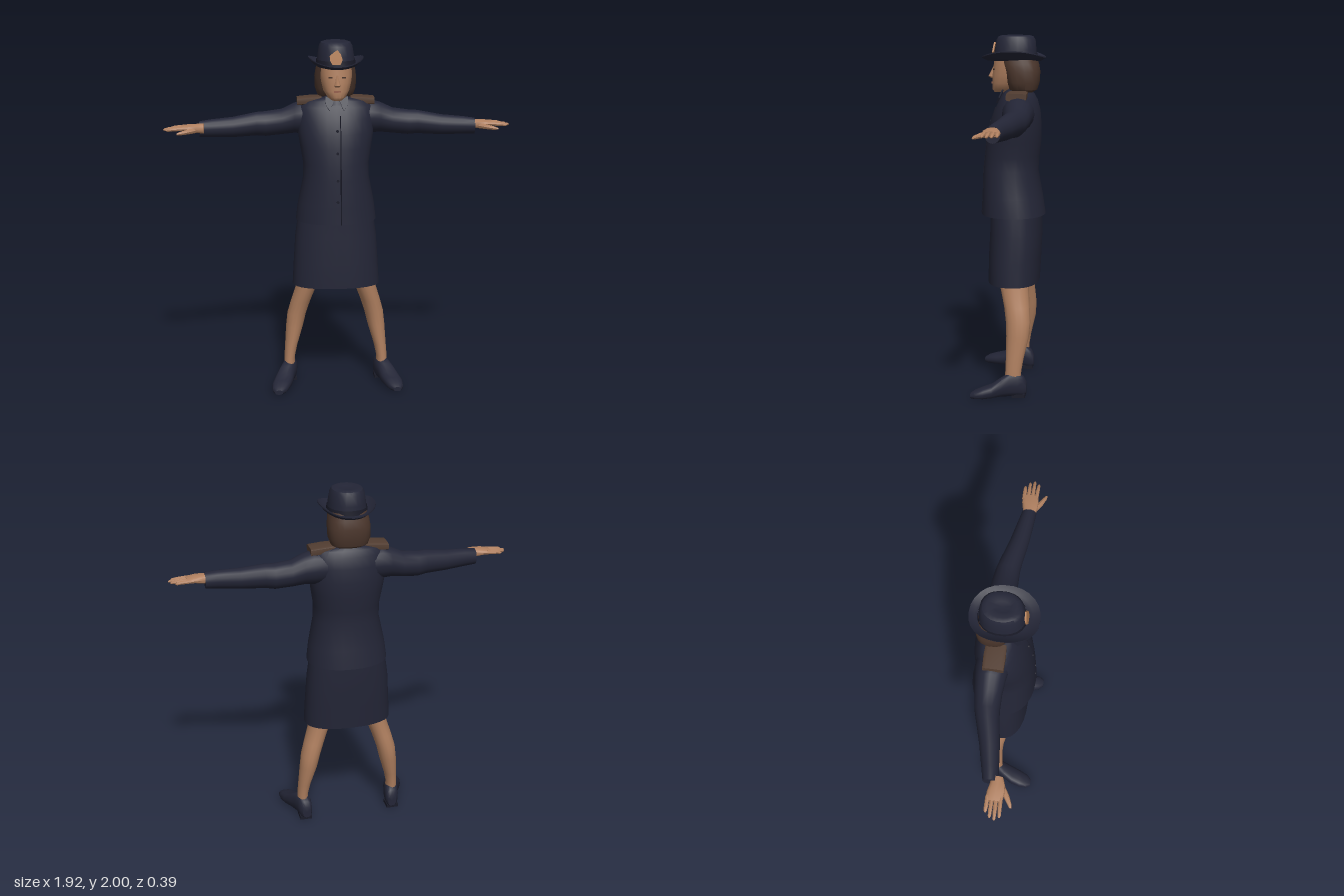
import * as THREE from 'three';
import { toCreasedNormals } from 'three/addons/utils/BufferGeometryUtils.js';

const mat = (name, color) => {
  const m = new THREE.MeshStandardMaterial({ color, side: THREE.DoubleSide });
  m.name = name;
  return m;
};
const navy = mat('navy cloth', 0x232536);
const dark = mat('dark seam', 0x1a1b28);
const skin = mat('skin', 0xb08060);
const hairBrown = mat('hair brown', 0x4b362c);
const strapBrown = mat('shoulder brown', 0x523d31);
const copper = mat('copper badge', 0xb07a50);
const lipRed = mat('lips', 0x96604c);

// Joins rings of points into a closed skin, with optional end caps
function skinRings(rings, { flip = false, capStart = true, capEnd = true } = {}) {
  const n = rings[0].length, pos = [], idx = [];
  rings.forEach(r => r.forEach(p => pos.push(p.x, p.y, p.z)));
  const tri = (a, b, c) => flip ? idx.push(a, c, b) : idx.push(a, b, c);
  for (let i = 0; i < rings.length - 1; i++) for (let j = 0; j < n; j++) {
    const a = i * n + j, b = i * n + (j + 1) % n;
    tri(a, b, a + n);
    tri(b, b + n, a + n);
  }
  const cap = (i, end) => {
    const c = new THREE.Vector3();
    rings[i].forEach(p => c.addScaledVector(p, 1 / n));
    const k = pos.length / 3;
    pos.push(c.x, c.y, c.z);
    for (let j = 0; j < n; j++) {
      const a = i * n + j, b = i * n + (j + 1) % n;
      end ? tri(a, b, k) : tri(b, a, k);
    }
  };
  if (capStart) cap(0, false);
  if (capEnd) cap(rings.length - 1, true);
  const g = new THREE.BufferGeometry();
  g.setAttribute('position', new THREE.Float32BufferAttribute(pos, 3));
  g.setIndex(idx);
  return toCreasedNormals(g, 0.7);
}

// Superellipse outline, as pairs of unit coordinates
const outline = (n, power) => Array.from({ length: n }, (_, j) => {
  const t = j / n * Math.PI * 2, c = Math.cos(t), s = Math.sin(t);
  const f = v => Math.sign(v) * Math.pow(Math.abs(v), 2 / power);
  return [f(c), f(s)];
});

// Upright form. Rows: [y, centre x, half width, front z, back z, side lift]
function upright(rows, { n = 20, power = 2.2, side = 1, ...opt } = {}) {
  const o = outline(n, power);
  return skinRings(rows.map(([y, cx, rx, zf, zb, lift = 0]) => o.map(([c, s]) =>
    new THREE.Vector3(side * (cx + rx * s), y + lift * s * s, (zf + zb) / 2 + (zf - zb) / 2 * c))),
  { flip: side < 0, ...opt });
}

// Form running sideways. Rows: [x, centre y, centre z, half height, half depth]
function sideways(rows, side, { n = 14, power = 2 } = {}) {
  const o = outline(n, power);
  return skinRings(rows.map(([x, cy, cz, ry, rz]) => o.map(([c, s]) =>
    new THREE.Vector3(side * x, cy + ry * c, cz + rz * s))), { flip: side < 0 });
}

// Form running forwards. Rows: [z, centre x, half width, bottom y, top y]
function forwards(rows, side, { n = 14, power = 2.6 } = {}) {
  const o = outline(n, power);
  return skinRings(rows.map(([z, cx, rx, lo, hi]) => o.map(([c, s]) =>
    new THREE.Vector3(side * (cx + rx * c), (lo + hi) / 2 + (hi - lo) / 2 * s, z))), { flip: side < 0 });
}

export function createModel() {
  const model = new THREE.Group();
  model.name = 'uniformedWoman';
  const body = new THREE.Group();
  body.name = 'body';
  body.position.x = -0.01;
  model.add(body);
  const add = (name, geometry, material, parent = body) => {
    const m = new THREE.Mesh(geometry, material);
    m.name = name;
    parent.add(m);
    return m;
  };

  // Jacket and skirt
  add('jacket', upright([
    [1.0, 0, .228, .17, -.19], [1.1, 0, .215, .165, -.175], [1.25, 0, .185, .16, -.148],
    [1.33, 0, .185, .152, -.155], [1.42, 0, .2, .142, -.165], [1.5, 0, .212, .125, -.165],
    [1.58, 0, .215, .1, -.158], [1.64, 0, .21, .07, -.142], [1.672, 0, .185, .05, -.125],
    [1.69, 0, .1, .04, -.11],
  ], { n: 28 }), navy);
  add('jacketFrontEdge', upright([
    [1.0, .018, .004, .174, .15], [1.1, .018, .004, .168, .15], [1.25, .018, .004, .163, .14],
    [1.42, .018, .004, .145, .12], [1.5, .018, .004, .128, .1], [1.6, .018, .004, .095, .06],
  ], { n: 8 }), dark);
  for (const [y, z] of [[1.13, .163], [1.25, .16], [1.4, .144], [1.52, .12]]) {
    const button = add('jacketButton', new THREE.CylinderGeometry(.008, .008, .008, 8), dark);
    button.rotation.x = Math.PI / 2;
    button.position.set(0, y, z);
  }
  add('skirt', upright([
    [.615, 0, .25, .132, -.158], [.75, 0, .242, .13, -.165], [.9, 0, .232, .122, -.172], [1.02, 0, .215, .118, -.17],
  ], { n: 28, power: 2.4, capStart: false }), navy);

  // Neck and collar
  add('neck', upright([[1.62, 0, .06, .055, -.08], [1.69, 0, .05, .05, -.075], [1.76, 0, .05, .05, -.07]], { n: 14 }), skin);
  add('collar', upright([[1.655, 0, .095, .066, -.11], [1.685, 0, .075, .048, -.095], [1.71, 0, .06, .03, -.085]],
    { n: 16, capStart: false, capEnd: false }), navy);
  for (const s of [1, -1]) {
    const flap = new THREE.Shape([[.012, .035], [.062, .05], [.06, 0], [.038, -.035]]
      .map(([x, y]) => new THREE.Vector2(s * x, y)));
    const m = add('collarFlap', new THREE.ExtrudeGeometry(flap, { depth: .008, bevelEnabled: false }), navy);
    m.position.set(0, 1.655, .065);
    m.rotation.x = -.45;
  }

  // Head
  add('head', upright([
    [1.685, 0, .028, .1, .03], [1.7, 0, .05, .112, -.02], [1.735, 0, .072, .112, -.07],
    [1.78, 0, .084, .112, -.1], [1.82, 0, .09, .106, -.1], [1.88, 0, .09, .1, -.1],
  ], { n: 18 }), skin);
  add('nose', upright([[1.762, 0, .016, .118, .09], [1.772, 0, .017, .135, .09], [1.795, 0, .011, .122, .09], [1.825, 0, .007, .108, .09]],
    { n: 8, power: 1.6 }), skin);
  const mouth = add('mouth', new THREE.BoxGeometry(.038, .009, .008), lipRed);
  mouth.position.set(0, 1.737, .111);
  for (const s of [1, -1]) {
    const eye = add('eye', new THREE.BoxGeometry(.022, .007, .008), hairBrown);
    eye.position.set(s * .036, 1.812, .097);
    eye.rotation.y = s * .3;
  }
  add('hair', upright([
    [1.685, 0, .075, -.01, -.115], [1.7, 0, .1, .015, -.14], [1.74, 0, .114, .03, -.153],
    [1.8, 0, .116, .045, -.157], [1.84, 0, .11, .06, -.15], [1.885, 0, .1, .07, -.135],
  ], { n: 22, power: 2.7 }), hairBrown);

  // Hat: crown, band, upturned brim and badge
  add('hatCrown', upright([
    [1.865, 0, .108, .105, -.14], [1.92, 0, .101, .098, -.135], [1.975, 0, .092, .088, -.13],
    [1.993, 0, .082, .076, -.118], [2.0, 0, .062, .055, -.095], [1.992, 0, .03, .025, -.06],
  ], { n: 22 }), navy);
  add('hatBrim', upright([
    [1.875, 0, .1, .1, -.13, .004], [1.868, 0, .125, .135, -.16, .022], [1.88, 0, .153, .172, -.188, .036],
    [1.874, 0, .153, .172, -.188, .036], [1.858, 0, .125, .135, -.16, .02], [1.857, 0, .1, .1, -.13, .004],
  ], { n: 26, flip: true, capStart: false }), navy);
  add('hatBand', upright([[1.87, 0, .111, .108, -.143], [1.9, 0, .107, .104, -.14]],
    { n: 22, capStart: false, capEnd: false }), dark);
  const badgeShape = new THREE.Shape([[-.022, -.036], [.022, -.036], [.034, -.01], [.024, .022], [.006, .044], [-.016, .03], [-.036, .012], [-.034, -.012]]
    .map(p => new THREE.Vector2(...p)));
  const badge = add('hatBadge', new THREE.ExtrudeGeometry(badgeShape, { depth: .009, bevelEnabled: false }), copper);
  badge.position.set(-.005, 1.917, .1);
  badge.rotation.x = -.17;

  for (const s of [1, -1]) {
    // Shoulder strap and sleeve
    add('shoulderStrap', sideways([
      [.08, 1.677, -.04, .02, .055], [.14, 1.673, -.04, .022, .058], [.215, 1.668, -.04, .02, .056],
    ], s, { n: 16, power: 5 }), strapBrown);
    add('sleeve', sideways([
      [.1, 1.57, -.05, .09, .085], [.19, 1.575, -.05, .094, .088], [.24, 1.57, -.052, .085, .08],
      [.31, 1.55, -.052, .072, .072], [.4, 1.54, -.046, .07, .066], [.45, 1.542, -.036, .066, .062],
      [.58, 1.53, -.008, .057, .053], [.7, 1.528, .012, .05, .045], [.765, 1.525, .022, .045, .04],
    ], s, { n: 16 }), navy, model);

    // Hand with four fingers and a thumb
    const hand = new THREE.Group();
    hand.name = s > 0 ? 'leftHand' : 'rightHand';
    hand.position.z = s > 0 ? 0 : .035;
    model.add(hand);
    add('palm', sideways([
      [.74, 1.535, .02, .028, .03], [.78, 1.537, .025, .024, .04], [.82, 1.54, .022, .019, .046], [.865, 1.538, .018, .013, .042],
    ], s, { n: 12, power: 2.5 }), skin, hand);
    [.925, .95, .96, .945].forEach((tip, i) => {
      const z = -.016 + i * .022;
      add('finger', sideways([
        [.84, 1.54, z, .012, .011], [.9, 1.537, z * 1.05, .01, .0105], [tip - .008, 1.533, z * 1.1, .008, .008], [tip, 1.532, z * 1.1, .003, .004],
      ], s, { n: 8 }), skin, hand);
    });
    add('thumb', sideways([
      [.775, 1.532, .042, .017, .018], [.82, 1.527, .072, .014, .017], [.865, 1.522, .096, .01, .012], [.885, 1.52, .104, .005, .006],
    ], s, { n: 8 }), skin, hand);

    // Leg and shoe
    add('leg', upright([
      [.1, .272, .032, .015, -.075], [.15, .272, .031, .012, -.078], [.22, .262, .036, .01, -.09],
      [.34, .24, .05, .01, -.118], [.42, .226, .055, .014, -.124], [.5, .202, .057, .026, -.118],
      [.6, .168, .06, .05, -.11], [.75, .13, .075, .065, -.12], [.9, .105, .085, .07, -.13],
    ], { n: 16, side: s, power: 2 }), skin);
    add('shoe', forwards([
      [-.105, .262, .025, .015, .085], [-.09, .264, .036, .004, .115], [-.06, .268, .042, .004, .137],
      [-.015, .276, .044, .004, .138], [.03, .294, .048, .008, .115], [.08, .312, .054, .004, .082],
      [.13, .327, .052, .002, .066], [.175, .336, .042, .004, .05], [.2, .341, .022, .008, .034],
    ], s), navy);
    add('shoeHeel', new THREE.BoxGeometry(.07, .02, .075), dark).position.set(s * .266, .01, -.062);
  }
  return model;
}
